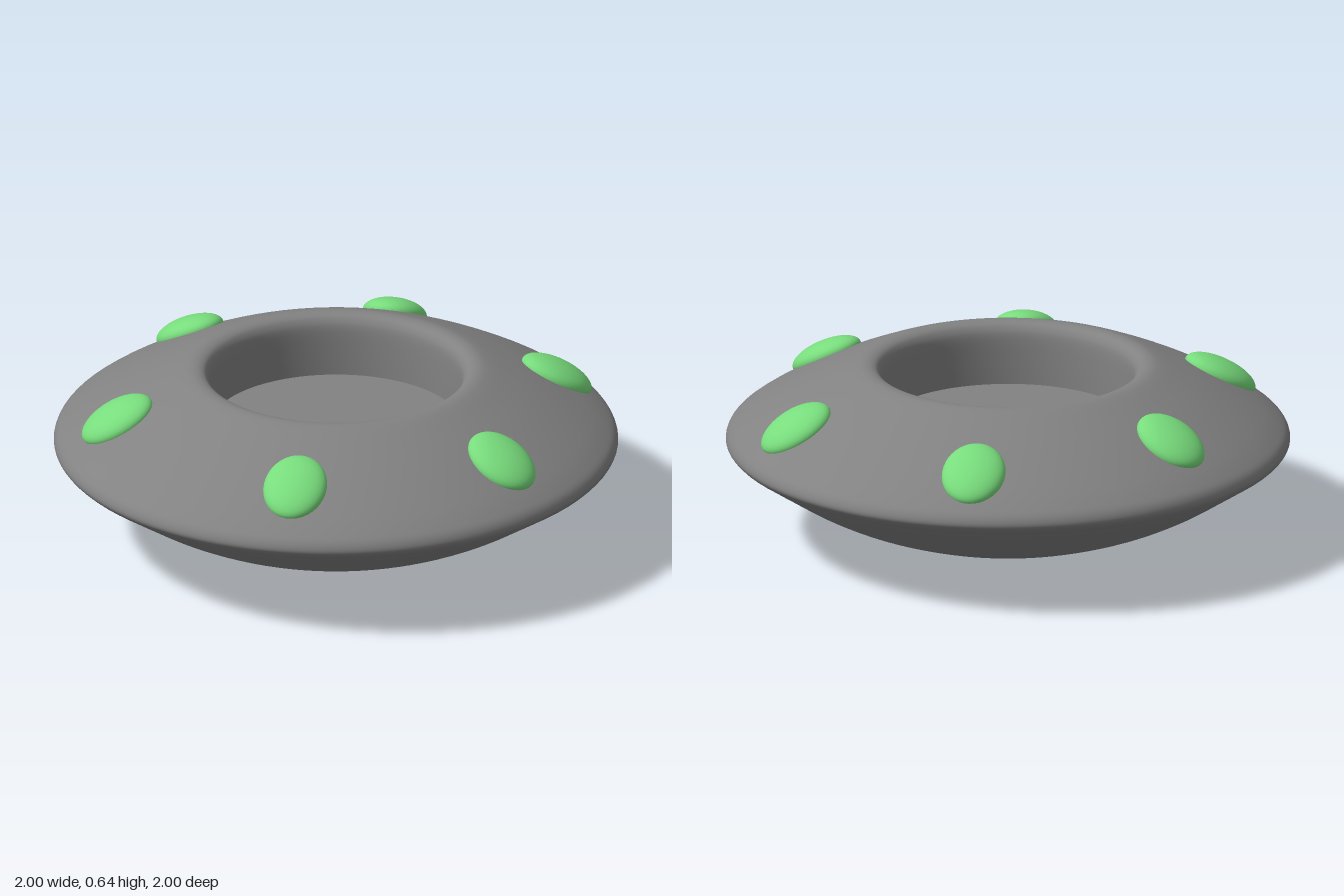
import * as THREE from 'three';

const v2 = (list) => list.map(([x, y]) => new THREE.Vector2(x, y));

export function createModel() {
  const model = new THREE.Group();
  model.name = 'saucer';
  const hullGrey = new THREE.MeshStandardMaterial({ color: 0x828282 });
  hullGrey.name = 'hull grey';
  const lightGreen = new THREE.MeshStandardMaterial({ color: 0x78dc7c });
  lightGreen.name = 'light green';

  // Upper slope, also used to tilt the lights
  const slope = [[0.99, 0.395], [0.96, 0.422], [0.9, 0.462], [0.8, 0.518], [0.7, 0.568], [0.6, 0.612], [0.545, 0.634]];

  // Hull: shallow bowl, rounded rim, slope, rolled lip and recess wall
  const profile = new THREE.SplineCurve(v2([
    [0, 0], [0.2, 0.012], [0.4, 0.05], [0.6, 0.118], [0.75, 0.19], [0.88, 0.272], [0.95, 0.318], [0.985, 0.342],
    [1, 0.365], ...slope,
    [0.51, 0.643], [0.48, 0.64], [0.46, 0.625], [0.448, 0.59], [0.445, 0.5], [0.445, 0.42],
  ]));
  const points = profile.getPoints(110);
  points[0].x = 0;
  const hull = new THREE.Mesh(new THREE.LatheGeometry(points, 96), hullGrey);
  hull.name = 'hull';
  model.add(hull);

  // Flat floor of the recess
  const floor = new THREE.Mesh(new THREE.CircleGeometry(0.446, 96), hullGrey);
  floor.name = 'recessFloor';
  floor.rotation.x = -Math.PI / 2;
  floor.position.y = 0.42;
  model.add(floor);

  // Height of the upper slope at a radius
  const slopeHeight = (r) => {
    const i = slope.findIndex(([x]) => x <= r);
    const [a, b] = [slope[i - 1], slope[i]];
    return THREE.MathUtils.mapLinear(r, a[0], b[0], a[1], b[1]);
  };

  // Six oval lights lying on the slope
  const dome = new THREE.SphereGeometry(1, 40, 28);
  [[0.8, -0.02], [0.44, 0.66], [-0.43, 0.67], [-0.78, -0.06], [-0.41, -0.72], [0.39, -0.72]].forEach(([x, z], i) => {
    const r = Math.hypot(x, z);
    const tilt = Math.atan2(slopeHeight(r - 0.1) - slopeHeight(r + 0.1), 0.2);
    const light = new THREE.Mesh(dome, lightGreen);
    light.name = `light${i + 1}`;
    light.scale.set(0.14, 0.055, 0.113);
    light.rotation.set(0, Math.atan2(-z, x), -tilt, 'YXZ');
    light.position.set(x, slopeHeight(r), z);
    model.add(light);
  });

  return model;
}
